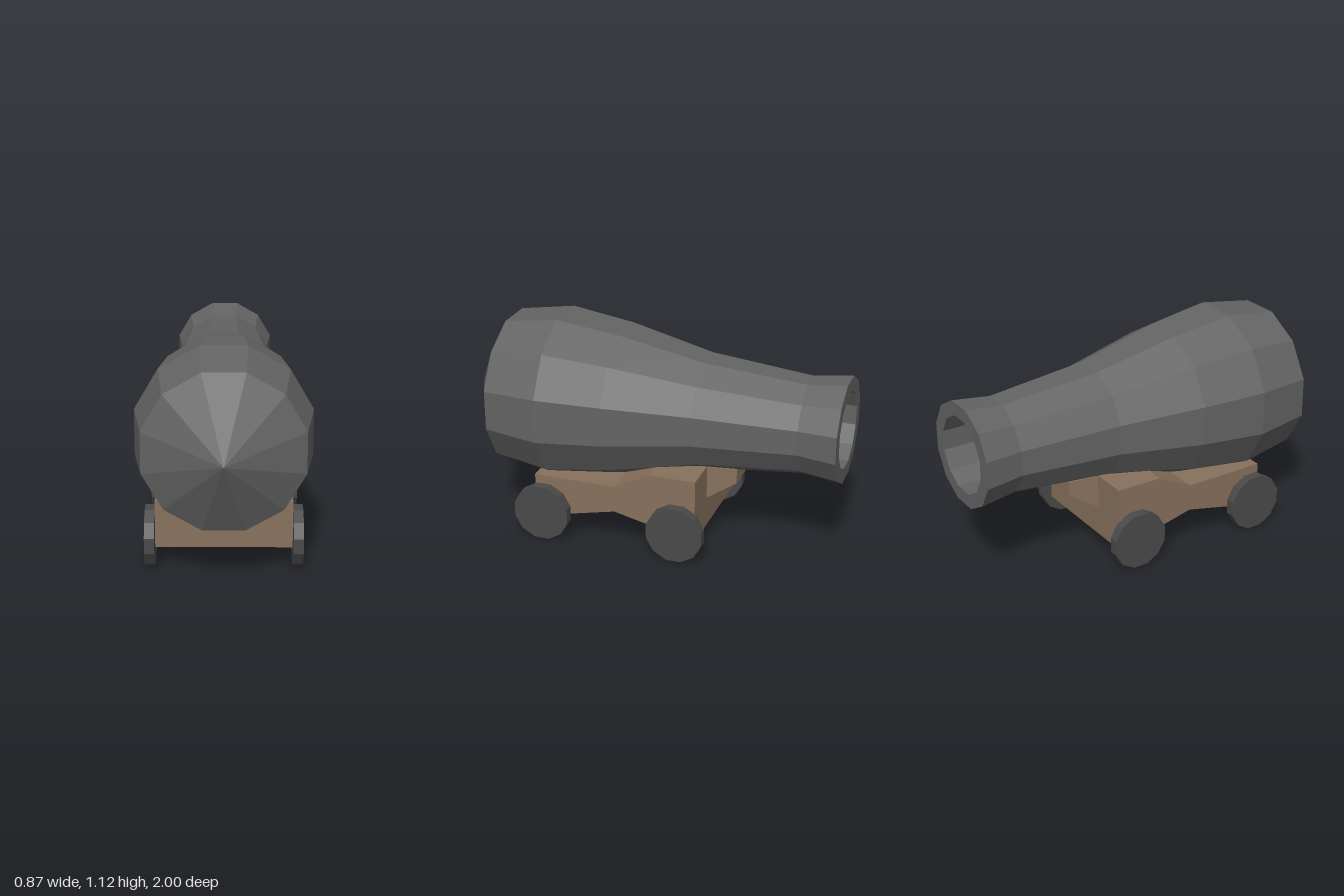
import * as THREE from 'three';

const iron = new THREE.MeshStandardMaterial({ color: 0x646464 });
iron.name = 'iron';
const darkIron = new THREE.MeshStandardMaterial({ color: 0x4a4a4a });
darkIron.name = 'dark iron';
const wood = new THREE.MeshStandardMaterial({ color: 0x88715c });
wood.name = 'wood';

const SIDES = 12;
const FLAT = Math.cos(Math.PI / SIDES); // flat-to-centre distance over corner radius

// Give every face its own normal
function faceted(geometry) {
  const g = geometry.index ? geometry.toNonIndexed() : geometry;
  g.computeVertexNormals();
  return g;
}

function addMesh(parent, name, geometry, material) {
  const mesh = new THREE.Mesh(faceted(geometry), material);
  mesh.name = name;
  parent.add(mesh);
  return mesh;
}

// Extrude a (z, y) side profile across x, centred
function extrudeAcross(profile, width) {
  const shape = new THREE.Shape(profile.map(([z, y]) => new THREE.Vector2(z, y)));
  const g = new THREE.ExtrudeGeometry(shape, { depth: width, bevelEnabled: false });
  return g.translate(0, 0, -width / 2).rotateY(-Math.PI / 2);
}

export function createModel() {
  const model = new THREE.Group();
  model.name = 'cannon';

  // Barrel: bore floor, bore wall, muzzle rim, outside, pointed breech
  const profile = [
    [0, -0.2], [0.193, -0.2], [0.193, -1],
    [0.265, -1], [0.24, -0.8], [0.29, -0.27], [0.388, 0.17],
    [0.435, 0.51], [0.39, 0.805], [0, 1],
  ].map(([r, z]) => new THREE.Vector2(r / FLAT, z));
  const barrel = new THREE.LatheGeometry(profile, SIDES, Math.PI / SIDES);
  barrel.rotateX(Math.PI / 2).translate(0, 0.687, 0);
  addMesh(model, 'barrel', barrel, iron);

  // Carriage body with stepped top and arched underside
  addMesh(model, 'carriage', extrudeAcross([
    [0.56, 0.1], [0.56, 0.343], [0.12, 0.343], [-0.07, 0.44],
    [-0.315, 0.44], [-0.315, 0.1], [0.12, 0.2],
  ], 0.68), wood);

  // Tapered support under the muzzle end
  const support = extrudeAcross([
    [-0.31, 0.257], [-0.31, 0.437], [-0.46, 0.423], [-0.46, 0.345],
  ], 0.29);
  const p = support.attributes.position;
  for (let i = 0; i < p.count; i++) {
    if (p.getZ(i) < -0.4) p.setX(i, p.getX(i) * 0.67);
  }
  addMesh(model, 'barrelSupport', support, wood);

  // Four wheels
  const wheelRadius = 0.1475;
  for (const side of [-1, 1]) {
    for (const [end, z] of [['front', 0.513], ['back', -0.218]]) {
      const wheel = new THREE.CylinderGeometry(
        wheelRadius / FLAT, wheelRadius / FLAT, 0.05, SIDES, 1, false, Math.PI / SIDES);
      wheel.rotateZ(Math.PI / 2);
      const name = end + (side > 0 ? 'Left' : 'Right') + 'Wheel';
      addMesh(model, name, wheel, darkIron).position.set(side * 0.365, wheelRadius, z);
    }
  }
  return model;
}
